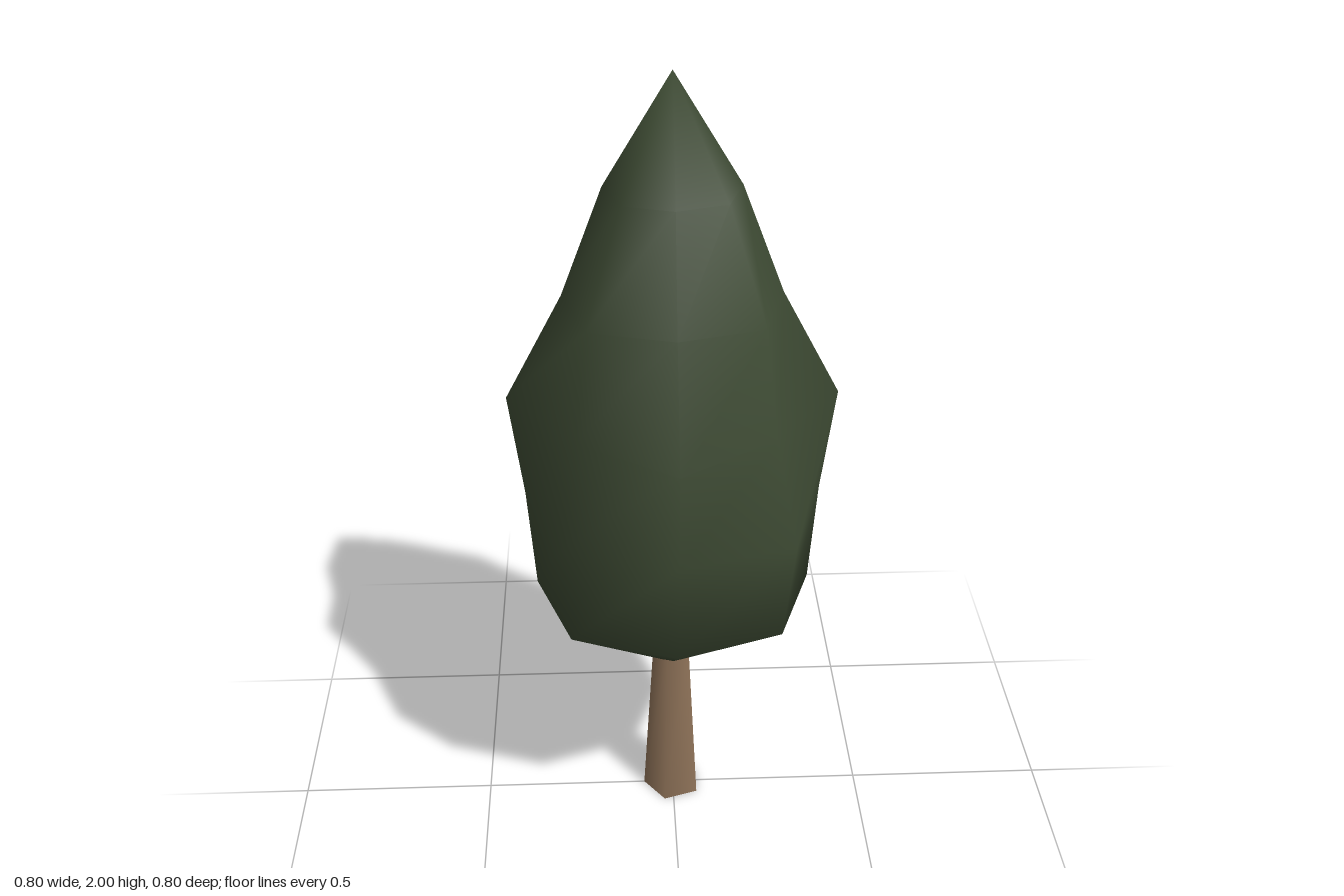
import * as THREE from 'three';

const SIDES = 8;

// Closed low-poly crown: rings alternate between two radii around the axis
function crownGeometry(top, bottom, axisRadii, diagonalRadii) {
  const rings = axisRadii.length;
  const step = (top - bottom) / (rings + 1);
  const positions = [0, top, 0];
  const index = [];
  for (let i = 0; i < rings; i++) {
    for (let j = 0; j < SIDES; j++) {
      const angle = (j / SIDES) * Math.PI * 2;
      const r = j % 2 ? diagonalRadii[i] : axisRadii[i];
      positions.push(Math.cos(angle) * r, top - step * (i + 1), Math.sin(angle) * r);
    }
  }
  positions.push(0, bottom, 0);

  const at = (i, j) => 1 + i * SIDES + (j % SIDES);
  const last = 1 + rings * SIDES;
  for (let j = 0; j < SIDES; j++) {
    index.push(0, at(0, j + 1), at(0, j));
    for (let i = 0; i < rings - 1; i++) {
      const a = at(i, j), b = at(i, j + 1), c = at(i + 1, j), d = at(i + 1, j + 1);
      index.push(a, b, d, a, d, c);
    }
    index.push(at(rings - 1, j), at(rings - 1, j + 1), last);
  }

  const geometry = new THREE.BufferGeometry();
  geometry.setAttribute('position', new THREE.Float32BufferAttribute(positions, 3));
  geometry.setIndex(index);
  // Reverse any triangle that faces the central axis of its own ring pair
  geometry.computeVertexNormals();
  return geometry;
}

export function createModel() {
  const leafGreen = new THREE.MeshStandardMaterial({ color: 0x3d4a33 });
  leafGreen.name = 'leaf green';
  const barkBrown = new THREE.MeshStandardMaterial({ color: 0x8f7359 });
  barkBrown.name = 'bark brown';

  const tree = new THREE.Group();
  tree.name = 'tree';

  // Pointed crown
  const crown = new THREE.Mesh(
    crownGeometry(2, 0.407, [0.16, 0.26, 0.4, 0.365, 0.345], [0.172, 0.288, 0.328, 0.398, 0.363]),
    leafGreen
  );
  crown.name = 'crown';
  tree.add(crown);

  // Five-sided tapering trunk, its top sunk into the crown
  const trunkHeight = 0.47;
  const trunk = new THREE.Mesh(
    new THREE.CylinderGeometry(0.05, 0.078, trunkHeight, 5, 1, false, -Math.PI / 2),
    barkBrown
  );
  trunk.position.y = trunkHeight / 2;
  trunk.name = 'trunk';
  tree.add(trunk);

  return tree;
}
